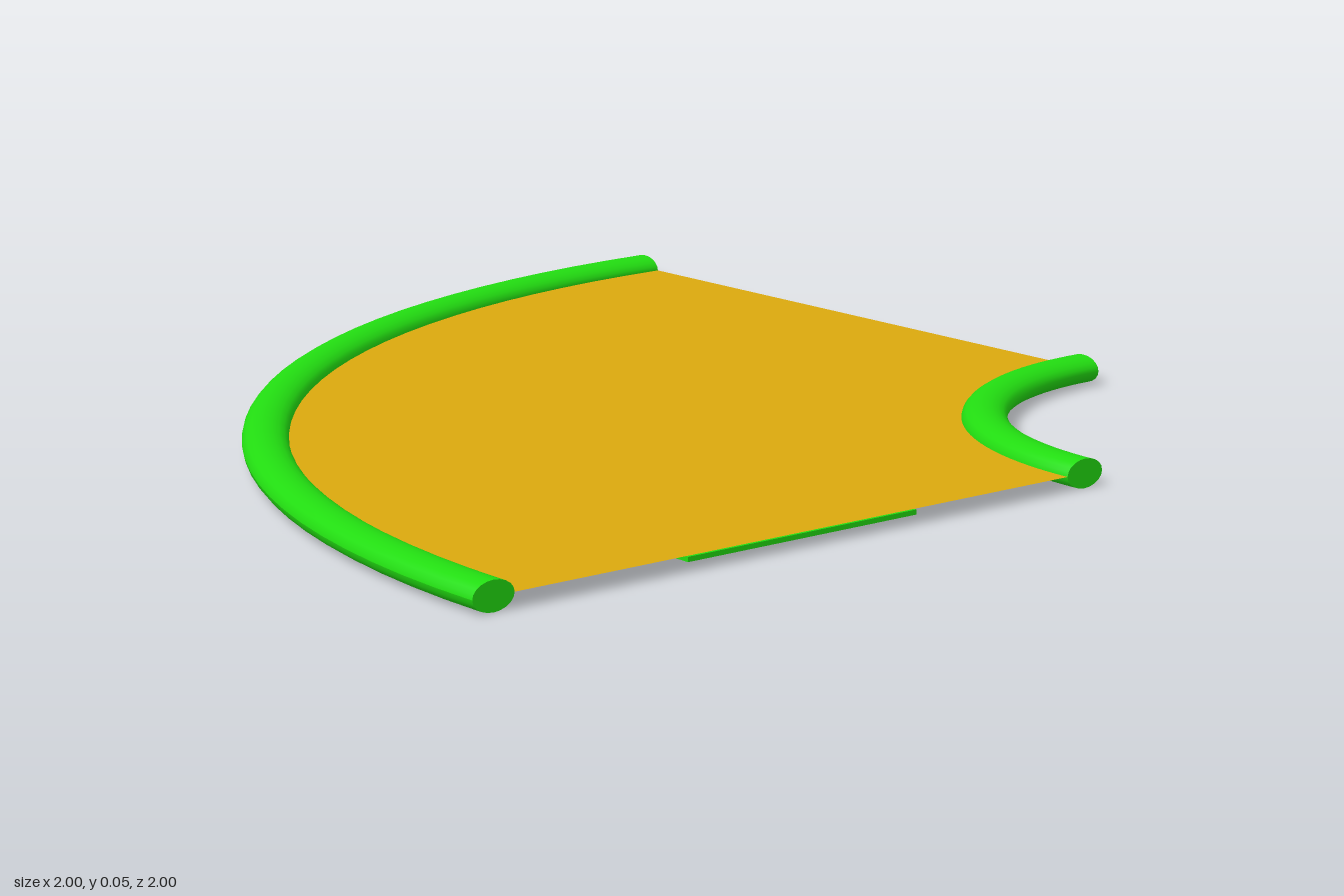
import * as THREE from 'three';

const SEGMENTS = 32;
const MID_Y = 0.028;
const green = { color: 0x22dd11 };
const gold = { color: 0xdba90d };

// Sweeps a closed (radius, height) profile through a quarter turn and caps both ends.
function quarterSweep(name, profile, look) {
  const part = new THREE.Group();
  part.name = name;
  const material = new THREE.MeshStandardMaterial({ ...look, side: THREE.DoubleSide });
  const body = new THREE.Mesh(
    new THREE.LatheGeometry([...profile, profile[0].clone()], SEGMENTS, -Math.PI / 2, Math.PI / 2), material);
  body.name = name + 'Body';
  part.add(body);
  const capShape = new THREE.Shape(profile);
  for (const angle of [Math.PI, -Math.PI / 2]) {
    const cap = new THREE.Mesh(new THREE.ShapeGeometry(capShape), material);
    cap.name = name + 'EndCap';
    cap.rotation.y = angle;
    part.add(cap);
  }
  return part;
}

// Flattened round rail at the given centre-line radius.
function rail(name, radius) {
  const profile = [];
  for (let i = 0; i < 20; i++) {
    const a = (i / 20) * Math.PI * 2;
    profile.push(new THREE.Vector2(radius + 0.043 * Math.cos(a), MID_Y + 0.027 * Math.sin(a)));
  }
  return quarterSweep(name, profile, green);
}

export function createModel() {
  const model = new THREE.Group();
  model.name = 'curvedTrack';

  // Everything turns about the back left corner.
  const curve = new THREE.Group();
  curve.name = 'quarterCurve';
  curve.position.set(1, 0, -1);
  model.add(curve);

  curve.add(rail('outerRail', 1.957), rail('innerRail', 0.628));

  // Thin floor between the rails
  const floor = new THREE.Mesh(
    new THREE.RingGeometry(0.628, 1.957, SEGMENTS, 1, Math.PI, Math.PI / 2),
    new THREE.MeshStandardMaterial({ ...gold, side: THREE.DoubleSide }));
  floor.name = 'floor';
  floor.rotation.x = -Math.PI / 2;
  floor.position.y = MID_Y;
  curve.add(floor);

  // Flat band under the middle of the floor
  const low = MID_Y - 0.011, high = MID_Y - 0.002;
  const section = [[1.035, low], [1.55, low], [1.55, high], [1.035, high]]
    .map(([r, y]) => new THREE.Vector2(r, y));
  curve.add(quarterSweep('underBand', section, { ...green, flatShading: true }));

  return model;
}
